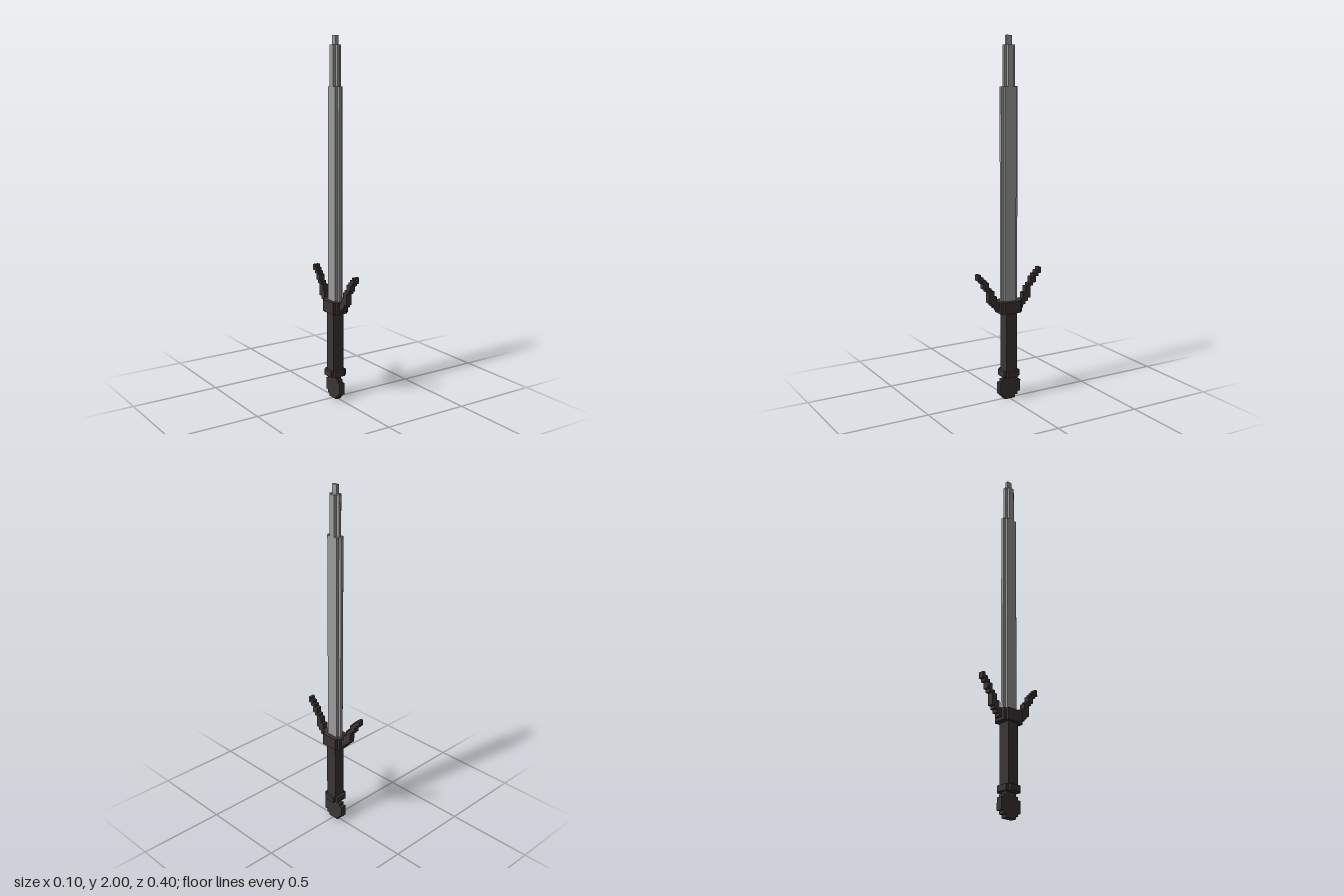
import * as THREE from 'three';

const U = 1 / 60; // one voxel

export function createModel() {
  const sword = new THREE.Group();
  sword.name = 'sword';
  const steel = new THREE.MeshStandardMaterial({ color: 0x9c9c9c });
  steel.name = 'steel grey';
  const iron = new THREE.MeshStandardMaterial({ color: 0x3c3434 });
  iron.name = 'dark iron';

  const part = (name) => {
    const g = new THREE.Group();
    g.name = name;
    sword.add(g);
    return g;
  };

  // box in voxels: half width in x, z range, y range
  const block = (group, mat, hx, z0, z1, y0, y1) => {
    const m = new THREE.Mesh(new THREE.BoxGeometry(2 * hx * U, (y1 - y0) * U, (z1 - z0) * U), mat);
    m.position.set(0, (y0 + y1) / 2 * U, (z0 + z1) / 2 * U);
    m.name = group.name + 'Block';
    group.add(m);
  };

  // cross-shaped prism: a wide core, plus narrower strips on its front and back
  const stepped = (group, mat, hx, hz, hxStrip, hzStrip, y0, y1) => {
    block(group, mat, hx, -hz, hz, y0, y1);
    block(group, mat, hxStrip, hz, hzStrip, y0, y1);
    block(group, mat, hxStrip, -hzStrip, -hz, y0, y1);
  };

  // blade narrowing in steps to the tip
  const blade = part('blade');
  stepped(blade, steel, 1.5, 2, 0.5, 3, 34, 104);
  stepped(blade, steel, 1.5, 1, 0.5, 2, 104, 117);
  block(blade, steel, 0.5, -1, 1, 117, 120);

  // guard, grip and collar
  stepped(part('guard'), iron, 3, 3, 2, 4, 30, 34);
  block(part('grip'), iron, 2, -2, 2, 10, 30);
  stepped(part('collar'), iron, 3, 2, 2, 3, 8, 10);

  // upswept guard wings, one column per voxel outwards
  const columns = [[31, 34], [32, 36], [33, 38], [34, 39], [38, 41], [39, 42], [41, 43], [42, 44]];
  for (const side of [1, -1]) {
    const wing = part(side > 0 ? 'frontWing' : 'backWing');
    columns.forEach(([y0, y1], i) => {
      const z = side * (4.5 + i);
      block(wing, iron, 1, z - 0.5, z + 0.5, y0, y1);
    });
  }

  // flat round pommel in stacked rows
  const pommel = part('pommel');
  [[2, 0, 1], [3, 1, 2], [4, 2, 6], [3, 6, 7], [2, 7, 8]].forEach(([h, y0, y1]) =>
    block(pommel, iron, 1, -h, h, y0, y1));

  return sword;
}
